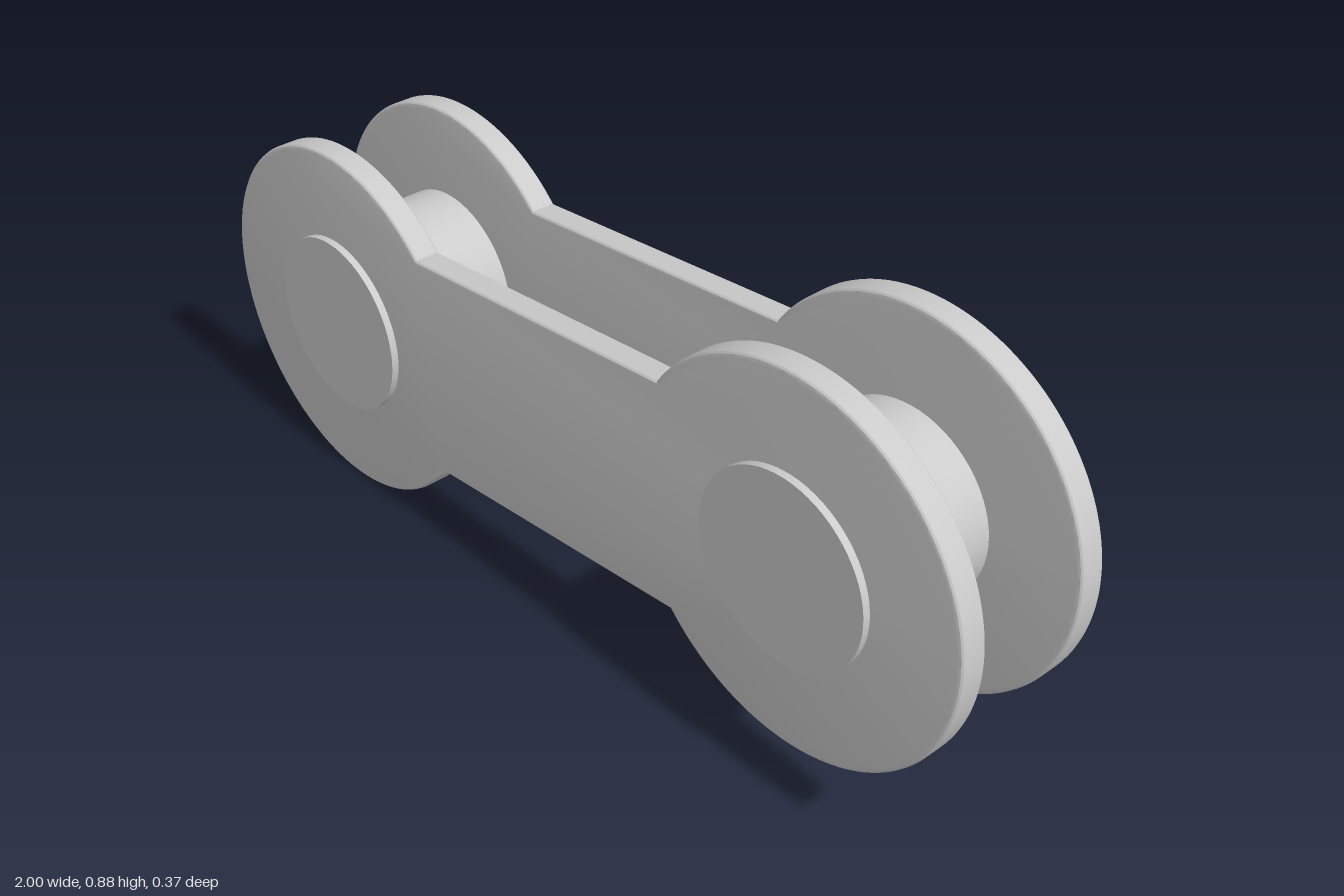
import * as THREE from 'three';
import { toCreasedNormals } from 'three/addons/utils/BufferGeometryUtils.js';

const EYE_X = 0.625, EYE_RISE = 0.064, MID_Y = 0.439; // eye centres sit at (±EYE_X, MID_Y ± EYE_RISE)
const EYE_R = 0.375, BAR_HALF = 0.234;
const PLATE_Z = 0.1425, PLATE_T = 0.055, BEVEL = 0.008;
const PIN_R = 0.187, PIN_LENGTH = 0.37;

// Dumbbell outline: two round eyes joined by a straight bar
function linkShape(halfSpan) {
  const a = Math.asin(BAR_HALF / EYE_R);
  const shape = new THREE.Shape();
  shape.absarc(halfSpan, 0, EYE_R, -Math.PI + a, Math.PI - a, false);
  shape.absarc(-halfSpan, 0, EYE_R, a, Math.PI * 2 - a, false);
  shape.closePath();
  return shape;
}

export function createModel() {
  const model = new THREE.Group();
  model.name = 'chainLink';
  const material = new THREE.MeshStandardMaterial({ color: 0xcccccc });
  const halfSpan = Math.hypot(EYE_X, EYE_RISE);

  // The link is built level, then tilted so one eye is higher
  const link = new THREE.Group();
  link.name = 'tiltedLink';
  link.position.y = MID_Y;
  link.rotation.z = Math.atan2(EYE_RISE, EYE_X);
  model.add(link);

  // Side plates with softened rims
  const extruded = new THREE.ExtrudeGeometry(linkShape(halfSpan), {
    depth: PLATE_T - 2 * BEVEL, curveSegments: 64,
    bevelEnabled: true, bevelThickness: BEVEL, bevelSize: BEVEL, bevelOffset: -BEVEL, bevelSegments: 3,
  });
  extruded.translate(0, 0, BEVEL - PLATE_T / 2);
  const plateGeometry = toCreasedNormals(extruded, 0.4);
  for (const [name, side] of [['frontPlate', 1], ['backPlate', -1]]) {
    const plate = new THREE.Mesh(plateGeometry, material);
    plate.name = name;
    plate.position.z = side * PLATE_Z;
    link.add(plate);
  }

  // Pins running through both plates
  const pinGeometry = new THREE.CylinderGeometry(PIN_R, PIN_R, PIN_LENGTH, 64);
  pinGeometry.rotateX(Math.PI / 2);
  for (const [name, side] of [['leftPin', 1], ['rightPin', -1]]) {
    const pin = new THREE.Mesh(pinGeometry, material);
    pin.name = name;
    pin.position.x = side * halfSpan;
    link.add(pin);
  }
  return model;
}
